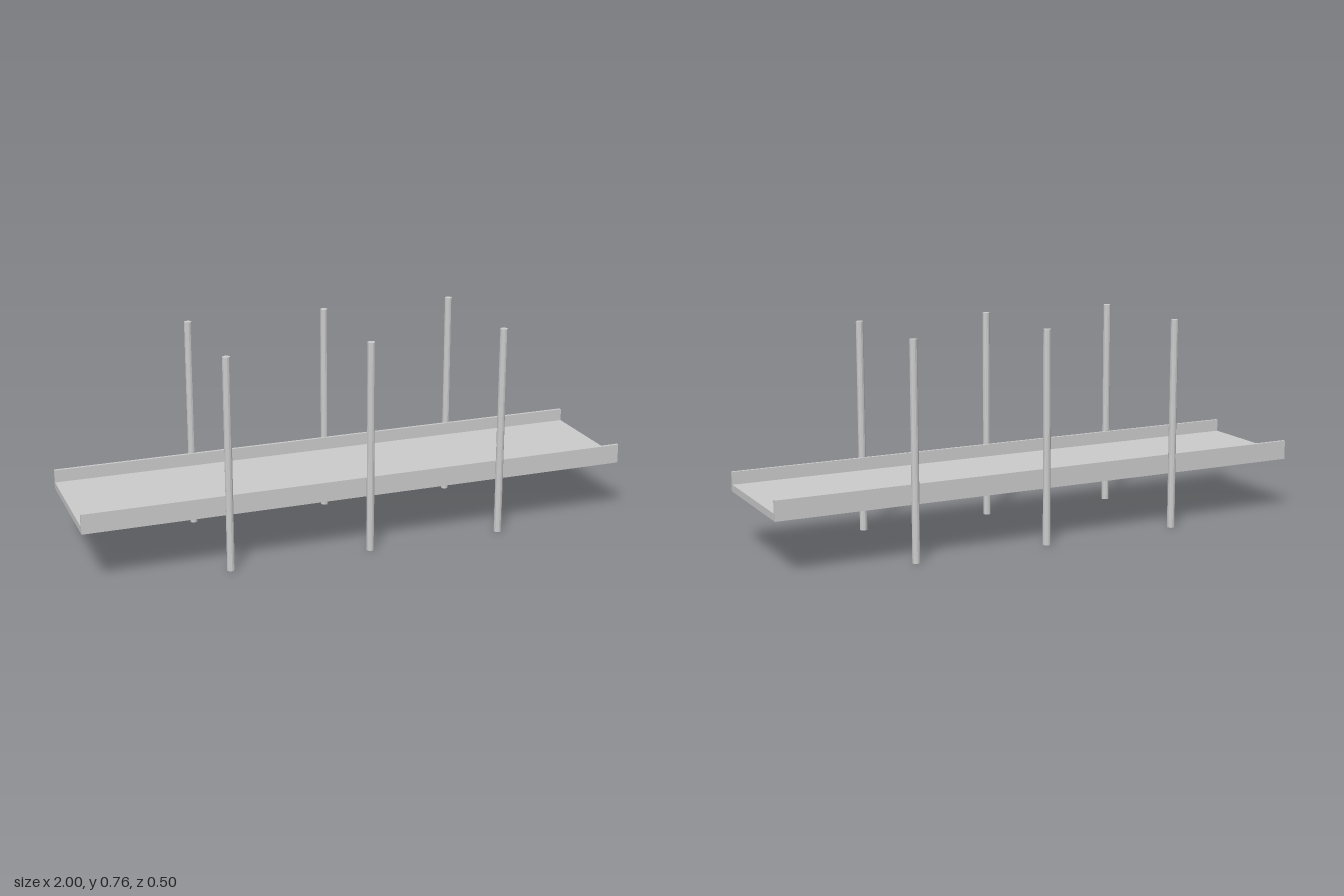
import * as THREE from 'three';

const material = new THREE.MeshStandardMaterial({ color: 0xcccccc, flatShading: true });

// Channel-shaped walkway: flat deck with a raised lip along each long side
function createDeck() {
  const half = 0.23, inner = 0.219, bottom = 0.2, floor = 0.225, top = 0.27, length = 2;
  const profile = new THREE.Shape([
    [-half, bottom], [half, bottom], [half, top], [inner, top],
    [inner, floor], [-inner, floor], [-inner, top], [-half, top],
  ].map(([z, y]) => new THREE.Vector2(z, y)));
  const geometry = new THREE.ExtrudeGeometry(profile, { depth: length, bevelEnabled: false });
  geometry.translate(0, 0, -length / 2).rotateY(Math.PI / 2);
  const deck = new THREE.Mesh(geometry, material);
  deck.name = 'deck';
  return deck;
}

// Slim upright posts in pairs on both sides of the deck
function createPosts() {
  const posts = new THREE.Group();
  posts.name = 'posts';
  const height = 0.76, radius = 0.0135;
  const geometry = new THREE.CylinderGeometry(radius, radius, height, 12);
  for (const x of [-0.495, 0.017, 0.513]) {
    for (const side of [1, -1]) {
      const post = new THREE.Mesh(geometry, material);
      post.name = side > 0 ? 'frontPost' : 'backPost';
      post.position.set(x, height / 2, side * 0.2375);
      posts.add(post);
    }
  }
  return posts;
}

export function createModel() {
  const model = new THREE.Group();
  model.name = 'walkway';
  model.add(createDeck(), createPosts());
  return model;
}
